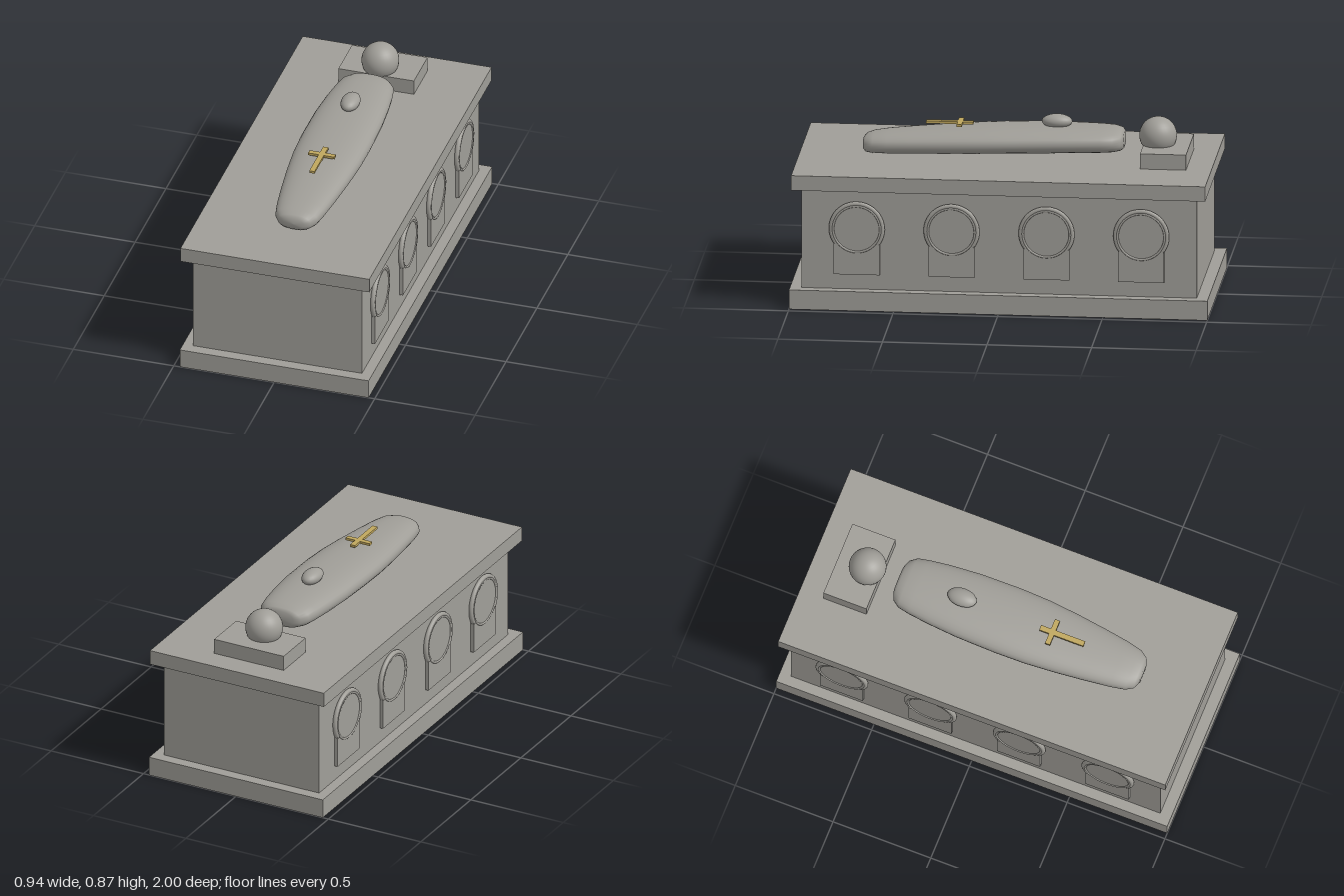
import * as THREE from 'three';

export function createModel() {
  const root = new THREE.Group();
  root.name = 'tombWithEffigy';
  const stone = new THREE.MeshStandardMaterial({ color: 0xa09e98 });
  stone.name = 'stone';
  const gold = new THREE.MeshStandardMaterial({ color: 0xc0a75e });
  gold.name = 'gold';

  const add = (name, geometry, material, x, y, z, parent = root) => {
    const mesh = new THREE.Mesh(geometry, material);
    mesh.name = name;
    mesh.position.set(x, y, z);
    parent.add(mesh);
    return mesh;
  };
  const box = (name, w, y0, y1, z0, z1, material = stone, x = 0) =>
    add(name, new THREE.BoxGeometry(w, y1 - y0, z1 - z0), material, x, (y0 + y1) / 2, (z0 + z1) / 2);

  // Chest
  box('plinth', 0.94, 0, 0.095, -1, 1);
  box('chest', 0.84, 0.095, 0.587, -0.945, 0.945);
  box('lid', 0.94, 0.587, 0.66, -0.99, 0.99);

  // Arched niches along both long sides, built facing +z and turned outwards
  const arch = new THREE.Shape();
  arch.moveTo(-0.11, -0.225);
  arch.lineTo(0.11, -0.225);
  arch.lineTo(0.11, 0);
  arch.absarc(0, 0, 0.11, 0, Math.PI, false);
  arch.closePath();
  const panelGeo = new THREE.ExtrudeGeometry(arch, { depth: 0.027, bevelEnabled: false, curveSegments: 20 });
  const hoodArc = Math.PI * 1.4;
  const hoodGeo = new THREE.TorusGeometry(0.122, 0.012, 10, 36, hoodArc);
  hoodGeo.rotateZ((Math.PI - hoodArc) / 2);
  const ringGeo = new THREE.TorusGeometry(0.113, 0.006, 8, 40);
  for (const side of [1, -1]) {
    for (const z of [-0.68, -0.227, 0.227, 0.68]) {
      const niche = new THREE.Group();
      niche.name = side > 0 ? 'leftNiche' : 'rightNiche';
      niche.position.set(side * 0.41, 0.395, z);
      niche.rotation.y = side * Math.PI / 2;
      add('nichePanel', panelGeo, stone, 0, 0, 0, niche);
      add('nicheHood', hoodGeo, stone, 0, 0, 0.019, niche);
      add('nicheRing', ringGeo, stone, 0, 0, 0.026, niche);
      root.add(niche);
    }
  }

  // Pillow and head
  box('pillow', 0.376, 0.66, 0.735, -0.87, -0.65);
  add('head', new THREE.SphereGeometry(0.09, 32, 20), stone, 0, 0.778, -0.718);

  // Reclining body: rounded sections [z, half width, bottom, top] from shoulders to feet
  const sections = [
    [-0.56, 0.0, 0.752, 0.752], [-0.558, 0.07, 0.717, 0.79], [-0.545, 0.105, 0.706, 0.803],
    [-0.51, 0.131, 0.701, 0.811], [-0.45, 0.143, 0.698, 0.814], [-0.35, 0.156, 0.696, 0.815],
    [-0.2, 0.168, 0.692, 0.814], [0, 0.172, 0.686, 0.808], [0.15, 0.168, 0.68, 0.8],
    [0.3, 0.155, 0.674, 0.789], [0.45, 0.137, 0.668, 0.777], [0.57, 0.12, 0.663, 0.766],
    [0.64, 0.105, 0.662, 0.756], [0.675, 0.082, 0.665, 0.745], [0.689, 0.05, 0.675, 0.73],
    [0.692, 0, 0.703, 0.703],
  ];
  const sides = 32;
  const round = (v) => Math.sign(v) * Math.abs(v) ** 0.85;
  const points = [];
  const index = [];
  sections.forEach(([z, w, y0, y1], i) => {
    for (let j = 0; j < sides; j++) {
      const a = (j / sides) * Math.PI * 2;
      points.push(w * round(Math.cos(a)), (y0 + y1) / 2 + ((y1 - y0) / 2) * round(Math.sin(a)), z);
      if (i === 0) continue;
      const k = (j + 1) % sides;
      const p = (i - 1) * sides;
      const q = i * sides;
      index.push(p + j, p + k, q + j, p + k, q + k, q + j);
    }
  });
  const bodyGeo = new THREE.BufferGeometry();
  bodyGeo.setAttribute('position', new THREE.Float32BufferAttribute(points, 3));
  bodyGeo.setIndex(index);
  bodyGeo.computeVertexNormals();
  add('effigyBody', bodyGeo, stone, 0, 0, 0);

  // Folded hands
  const hands = add('foldedHands', new THREE.SphereGeometry(1, 24, 16), stone, 0, 0.834, -0.235);
  hands.scale.set(0.045, 0.034, 0.073);

  // Cross lying above the body
  box('crossShaft', 0.026, 0.808, 0.82, 0.165, 0.39, gold);
  for (const side of [1, -1]) box('crossArm', 0.052, 0.808, 0.82, 0.215, 0.24, gold, side * 0.039);

  return root;
}
